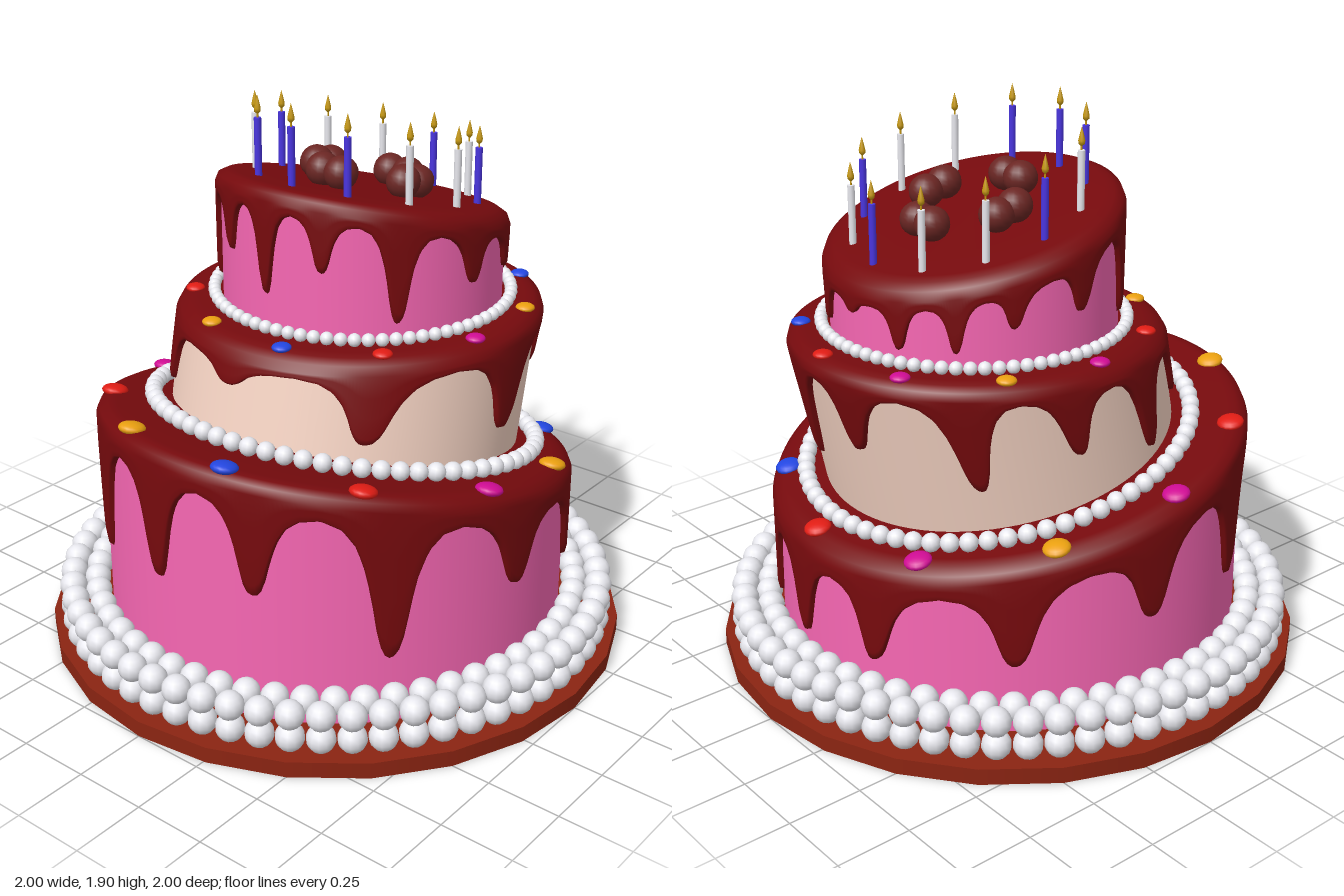
import * as THREE from 'three';
import { mergeGeometries } from 'three/addons/utils/BufferGeometryUtils.js';

const TAU = Math.PI * 2;
const mat = (color, side = THREE.FrontSide) => new THREE.MeshStandardMaterial({ color, side });
const PINK = mat(0xf767b3), CREAM = mat(0xf5d3c3), ICING = mat(0x760a0d, THREE.DoubleSide);
const WHITE = mat(0xe8e8ee), BLUE = mat(0x4a35e0), GOLD = mat(0xc89a10);
const CHERRY = mat(0x6b2623), BOARD = mat(0x8b2412);
const SWEETS = { r: mat(0xe01c14), b: mat(0x2346e0), o: mat(0xeaa010), m: mat(0xd00c94) };

function add(parent, name, geometry, material, x = 0, y = 0, z = 0) {
  const mesh = new THREE.Mesh(geometry, material);
  mesh.name = name;
  mesh.position.set(x, y, z);
  parent.add(mesh);
  return mesh;
}

// Ring of round sugar pearls
function pearlRing(parent, name, radius, y, size, count) {
  const pearls = [];
  for (let i = 0; i < count; i++) {
    const a = (i / count) * TAU;
    pearls.push(new THREE.SphereGeometry(size, 12, 9).translate(radius * Math.cos(a), y, radius * Math.sin(a)));
  }
  return add(parent, name, mergeGeometries(pearls), WHITE);
}

// Outline of half a drip: distance from its middle (0..1) against share of its length
const HALF_DRIP = [[0, 1], [0.08, 0.98], [0.15, 0.9], [0.21, 0.76], [0.27, 0.57], [0.36, 0.36], [0.5, 0.17], [0.7, 0.05], [1, 0]];
function dripShare(d) {
  const i = Math.max(1, HALF_DRIP.findIndex(p => p[0] >= d));
  const [a, b] = [HALF_DRIP[i - 1], HALF_DRIP[i]];
  return THREE.MathUtils.mapLinear(d, a[0], b[0], a[1], b[1]);
}

// Icing length at an angle in degrees; drips are [angle, length] sorted by angle
function icingLength(deg, drips, gap) {
  const n = drips.length;
  let i = drips.findIndex(d => d[0] > deg);
  if (i < 0) i = n;
  const prev = drips[(i + n - 1) % n], next = drips[i % n];
  const span = (next[0] - prev[0] + 360) % 360;
  const u = ((deg - prev[0] + 360) % 360) / span;
  const tip = u < 0.5 ? prev[1] : next[1];
  return gap + (tip - gap) * dripShare(Math.min(1, 2 * Math.min(u, 1 - u)));
}

// Icing shell: slanted top, rounded rim and dripping edge
function icingGeometry({ radius: R, height, slope, drips, gap, thick }) {
  const SEG = 360, pos = [], index = [];
  let rows = 0;
  for (let s = 0; s < SEG; s++) {
    const a = (s / SEG) * TAU, top = x => height + slope * x;
    const edge = top(R * Math.cos(a));
    const L = Math.min(icingLength(s, drips, gap), edge - 0.01);
    const out = R + thick, rim = 0.05;
    const profile = [[0, 0], [R * 0.6, 0], [R - 0.05, 0], [R - 0.02, 0.006], [R + thick * 0.4, 0.022], [out, rim]];
    for (const k of [0.3, 0.6, 0.88]) profile.push([out, rim + (L - rim) * k]);
    profile.push([R + thick * 0.7, rim + (L - rim) * 0.97], [R - 0.005, L]);
    rows = profile.length;
    for (const [r, drop] of profile) {
      const x = r * Math.cos(a);
      pos.push(x, top(x) - drop, r * Math.sin(a));
    }
    const p = s * rows, q = ((s + 1) % SEG) * rows;
    for (let j = 0; j < rows - 1; j++) {
      if (j > 0) index.push(p + j, q + j, p + j + 1);
      index.push(q + j, q + j + 1, p + j + 1);
    }
  }
  const g = new THREE.BufferGeometry();
  g.setAttribute('position', new THREE.Float32BufferAttribute(pos, 3));
  g.setIndex(index);
  g.computeVertexNormals();
  return g;
}

// Sponge with a slanted top, its icing and optional sweets along the rim
function tier(parent, name, spec) {
  const group = new THREE.Group();
  group.name = name;
  group.position.set(spec.x, spec.y, 0);
  group.rotation.z = spec.tilt || 0;
  parent.add(group);
  const sponge = new THREE.CylinderGeometry(spec.radius, spec.radius, 1, 96);
  const p = sponge.attributes.position;
  for (let i = 0; i < p.count; i++) {
    p.setY(i, p.getY(i) > 0 ? spec.height + spec.slope * p.getX(i) - 0.035 : 0);
  }
  add(group, name + 'Sponge', sponge, spec.color);
  add(group, name + 'Icing', icingGeometry(spec), ICING);
  if (spec.sweet) {
    [...'rbomrbormom'].forEach((c, k) => {
      const a = 0.07 + (k / 11) * TAU, r = spec.radius - 0.035, x = r * Math.cos(a);
      const dot = add(group, name + 'Sweet', new THREE.SphereGeometry(spec.sweet, 16, 10), SWEETS[c],
        x, spec.height + spec.slope * x, r * Math.sin(a));
      dot.scale.y = 0.45;
      dot.rotation.z = Math.atan(spec.slope);
    });
  }
  return group;
}

export function createModel() {
  const cake = new THREE.Group();
  cake.name = 'cake';

  // Board and its pearl border
  add(cake, 'board', new THREE.CylinderGeometry(1, 1, 0.055, 24), BOARD, 0, 0.0275, 0);
  pearlRing(cake, 'lowerPearls', 0.925, 0.098, 0.048, 60);
  pearlRing(cake, 'upperPearls', 0.925, 0.178, 0.048, 60);
  pearlRing(cake, 'innerPearls', 0.84, 0.178, 0.046, 56);

  // Bottom tier: upright with a slanted top
  tier(cake, 'bottomTier', {
    x: 0, y: 0.05, radius: 0.79, height: 0.7, slope: -0.21, color: PINK, gap: 0.1, thick: 0.02, sweet: 0.045,
    drips: [[6, 0.37], [30, 0.41], [62, 0.37], [95, 0.34], [129, 0.57], [160, 0.41], [186, 0.46], [213, 0.5],
      [244, 0.46], [275, 0.35], [308, 0.36], [342, 0.35]],
  });

  // Middle tier: leaning, with a level top
  const TILT = 0.214;
  const middle = tier(cake, 'middleTier', {
    x: 0.05, y: 0.76, tilt: -TILT, radius: 0.595, height: 0.432, slope: Math.tan(TILT), color: CREAM,
    gap: 0.07, thick: 0.02, sweet: 0.032,
    drips: [[17, 0.41], [48, 0.27], [86, 0.34], [137, 0.28], [183, 0.14], [222, 0.27], [252, 0.35], [281, 0.28],
      [312, 0.38], [350, 0.29]],
  });
  pearlRing(middle, 'middlePearls', 0.66, 0.005, 0.031, 68);

  // Top tier: upright with a slanted top
  const SLOPE = -0.24, H = 0.365;
  const top = tier(cake, 'topTier', {
    x: 0.145, y: 1.18, radius: 0.47, height: H, slope: SLOPE, color: PINK, gap: 0.08, thick: 0.018,
    drips: [[0, 0.12], [23, 0.21], [45, 0.23], [66, 0.19], [95, 0.23], [129, 0.38], [158, 0.25], [182, 0.36],
      [204, 0.25], [231, 0.38], [265, 0.23], [294, 0.19], [315, 0.23], [337, 0.21]],
  });
  pearlRing(top, 'topPearls', 0.5, 0.02, 0.022, 72);
  const surface = x => H + SLOPE * x;

  // Candles with flames
  [...'bwbwwbbbwbww'].forEach((c, k) => {
    const a = (k / 12) * TAU, x = 0.015 + 0.38 * Math.cos(a), z = 0.365 * Math.sin(a), y = surface(x);
    add(top, 'candle', new THREE.CylinderGeometry(0.012, 0.012, 0.21, 10), c === 'b' ? BLUE : WHITE, x, y + 0.085, z);
    add(top, 'wick', new THREE.CylinderGeometry(0.003, 0.003, 0.03, 6), GOLD, x, y + 0.2, z);
    const flame = [[0, 0.2], [0.01, 0.21], [0.011, 0.22], [0.006, 0.242], [0, 0.265]].map(q => new THREE.Vector2(...q));
    add(top, 'flame', new THREE.LatheGeometry(flame, 8), GOLD, x, y, z);
  });

  // Four pairs of cherries
  for (let k = 0; k < 4; k++) {
    const a = (k / 4) * TAU, c = Math.cos(a), s = Math.sin(a);
    for (const d of [-0.037, 0.037]) {
      const x = 0.015 + 0.18 * c - d * s, z = 0.18 * s + d * c;
      add(top, 'cherry', new THREE.SphereGeometry(0.056, 16, 12), CHERRY, x, surface(x) + 0.05, z).scale.x = 1.05;
    }
  }
  return cake;
}
